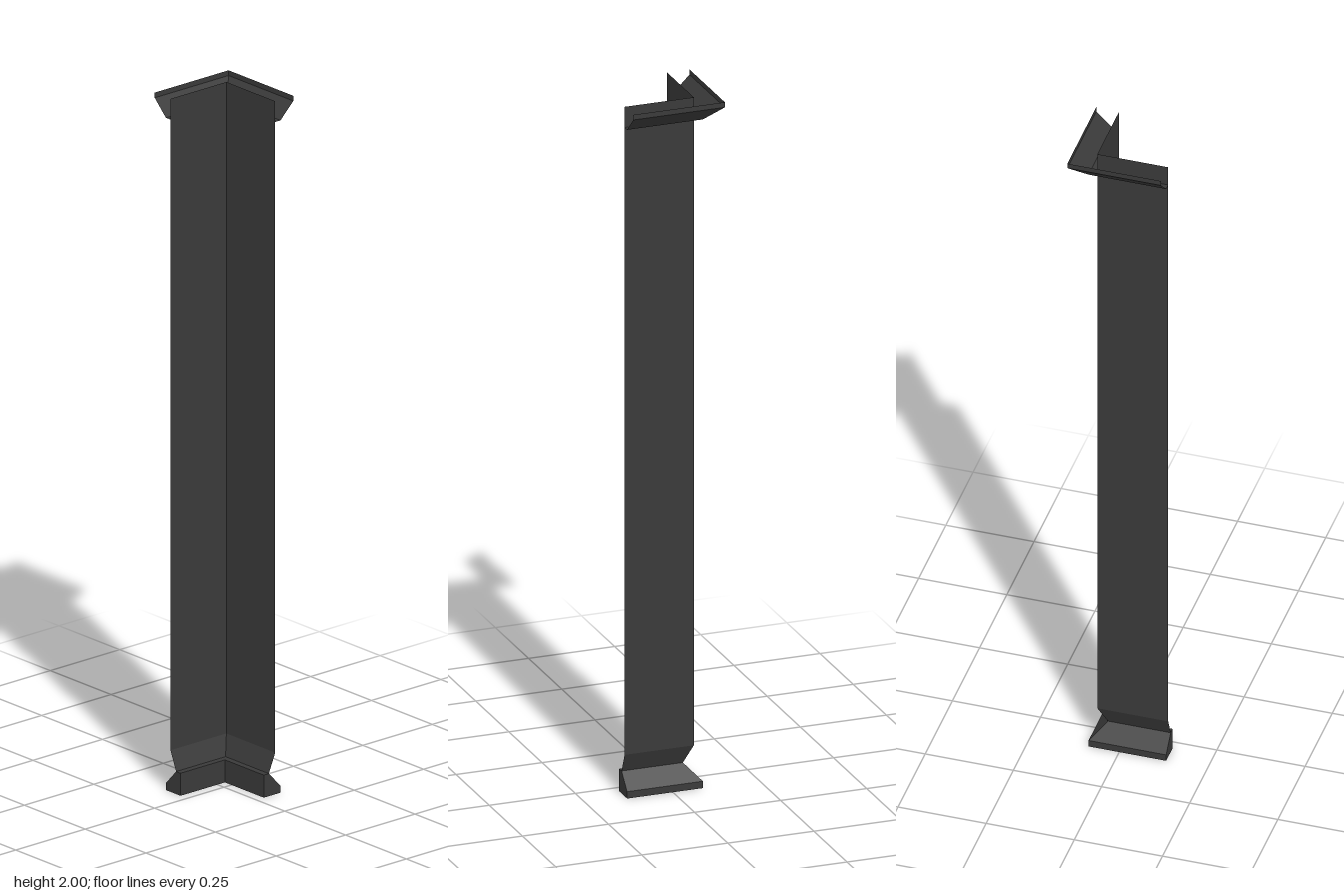
import * as THREE from 'three';

const END = 0.133; // where both legs of the L stop

const material = new THREE.MeshStandardMaterial({
  color: 0x3a3a3a, flatShading: true, side: THREE.DoubleSide,
});

// Sweeps a profile of [distance out, height] points along the L, mitred at the corner.
function sweepCorner(name, profile, capped = false) {
  const pos = [];
  const legB = ([d, y]) => [-END, y, -d];
  const corner = ([d, y]) => [d, y, -d];
  const legA = ([d, y]) => [d, y, END];
  const tri = (a, b, c) => pos.push(...a, ...b, ...c);

  for (let i = 0; i < profile.length - 1; i++) {
    const p = profile[i], q = profile[i + 1];
    for (const [from, to] of [[legB, corner], [corner, legA]]) {
      tri(from(p), from(q), to(q));
      tri(from(p), to(q), to(p));
    }
  }
  // Close both ends of a convex profile with a fan
  if (capped) {
    for (let i = 1; i < profile.length - 2; i++) {
      const [a, b, c] = [profile[0], profile[i], profile[i + 1]];
      tri(legA(a), legA(b), legA(c));
      tri(legB(a), legB(c), legB(b));
    }
  }
  const geometry = new THREE.BufferGeometry();
  geometry.setAttribute('position', new THREE.Float32BufferAttribute(pos, 3));
  geometry.computeVertexNormals();
  const mesh = new THREE.Mesh(geometry, material);
  mesh.name = name;
  return mesh;
}

export function createModel() {
  const group = new THREE.Group();
  group.name = 'wallCorner';

  // Thin wall panels, tucked inward just above the base
  group.add(sweepCorner('wallPanels', [[0.045, 0.065], [0.068, 0.12], [0.068, 2]]));

  // Solid skirting with a sloped outer top
  group.add(sweepCorner('baseSkirting', [
    [0.087, 0], [0.087, 0.02], [0.045, 0.065], [0.027, 0.065], [0.027, 0], [0.087, 0],
  ], true));

  // Open gutter-like cornice flaring out at the top
  group.add(sweepCorner('cornice', [
    [0.068, 1.94], [0.087, 1.94], [0.133, 1.985], [0.133, 2],
  ]));

  return group;
}
